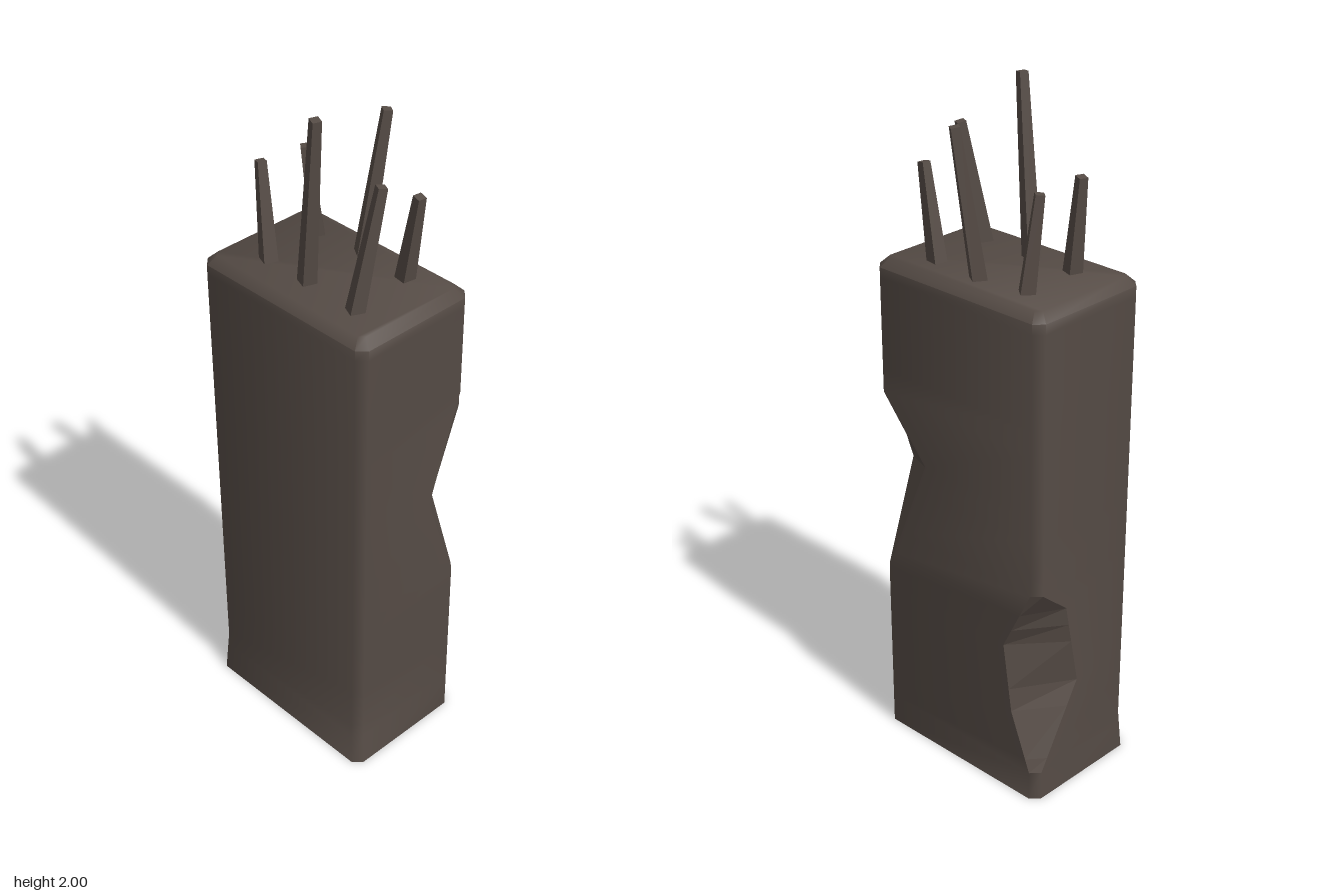
import * as THREE from 'three';
import { toCreasedNormals } from 'three/addons/utils/BufferGeometryUtils.js';

const HX = 0.2, HZ = 0.305, TOP = 1.505, BEVEL = 0.025;

// Piecewise-linear lookup in a list of [y, value]
function lerpTable(table, y) {
  if (y <= table[0][0]) return table[0][1];
  for (let i = 1; i < table.length; i++) {
    const [y0, a] = table[i - 1], [y1, b] = table[i];
    if (y <= y1) return a + (b - a) * (y - y0) / (y1 - y0);
  }
  return table[table.length - 1][1];
}

// Corner cuts: how far each one reaches along the front/back face (x) and side face (z)
const plain = [[0, BEVEL]];
const frontChip = {
  x: [[0.54, BEVEL], [0.85, 0.13], [1.18, BEVEL]],
  z: [[0.54, BEVEL], [0.93, 0.185], [1.11, BEVEL]],
};
const backChip = {
  x: [[0.09, BEVEL], [0.34, 0.17], [0.6, 0.12], [0.68, BEVEL]],
  z: [[0.09, BEVEL], [0.27, 0.095], [0.48, 0.125], [0.68, BEVEL]],
};
const cleanCut = { x: plain, z: plain };
const wear = [[0, 0], [0.13, 1], [1.45, 0]];

// Eight points round the block at height y, counter-clockwise from above
function ring(y, inset = 0) {
  const w = lerpTable(wear, y);
  const hx = HX - inset, hz = HZ - inset;
  const pts = [];
  const corner = (sx, sz, cut, xFirst) => {
    const wx = sx < 0 ? 0.016 * w : 0;
    const wz = sx < 0 && sz > 0 ? 0.018 * w : 0;
    const ex = sx * (hx - wx), ez = sz * (hz - wz);
    const onSide = new THREE.Vector3(ex, y, ez - sz * (lerpTable(cut.z, y) - inset * 0.4));
    const onFace = new THREE.Vector3(ex - sx * (lerpTable(cut.x, y) - inset * 0.4), y, ez);
    pts.push(...(xFirst ? [onSide, onFace] : [onFace, onSide]));
  };
  corner(1, 1, frontChip, false);
  corner(1, -1, backChip, true);
  corner(-1, -1, cleanCut, false);
  corner(-1, 1, cleanCut, true);
  return pts;
}

function geometryFrom(triangles) {
  const g = new THREE.BufferGeometry().setFromPoints(triangles);
  g.computeVertexNormals();
  return g;
}

function createBlock(material) {
  const heights = [0, 0.09, 0.13, 0.27, 0.34, 0.48, 0.54, 0.6, 0.68, 0.85, 0.93, 1.11, 1.18, 1.45, TOP - BEVEL];
  const rings = heights.map(y => ring(y));
  rings.push(ring(TOP, BEVEL));
  const body = [], chips = [];
  for (let r = 0; r < rings.length - 1; r++) {
    const lo = rings[r], hi = rings[r + 1];
    for (let i = 0; i < 8; i++) {
      const j = (i + 1) % 8;
      const y = (lo[i].y + hi[i].y) / 2;
      const chipped = (i === 0 && y > 0.54 && y < 1.18) || (i === 2 && y > 0.09 && y < 0.68);
      (chipped ? chips : body).push(lo[i], lo[j], hi[j], lo[i], hi[j], hi[i]);
    }
  }
  // Flat end caps
  const bottom = rings[0], top = rings[rings.length - 1];
  for (let i = 1; i < 7; i++) {
    body.push(top[0], top[i], top[i + 1]);
    body.push(bottom[0], bottom[i + 1], bottom[i]);
  }
  const block = new THREE.Group();
  block.name = 'concreteBlock';
  const pillar = new THREE.Mesh(toCreasedNormals(geometryFrom(body), 0.95), material);
  pillar.name = 'pillar';
  const broken = new THREE.Mesh(geometryFrom(chips), material);
  broken.name = 'chippedCorners';
  block.add(pillar, broken);
  return block;
}

// Tapered square bar leaning from base to tip
function createBar(base, tip, material) {
  const a = new THREE.Vector3(base[0], TOP - 0.02, base[1]);
  const b = new THREE.Vector3(...tip);
  const dir = b.clone().sub(a);
  const g = new THREE.CylinderGeometry(0.0175, 0.029, dir.length(), 4).toNonIndexed();
  g.computeVertexNormals();
  // Turn the square so that one flat side follows the lean
  g.rotateY(Math.PI / 4 + Math.atan2(dir.x, dir.z));
  const bar = new THREE.Mesh(g, material);
  bar.name = 'reinforcingBar';
  bar.position.copy(a).add(b).multiplyScalar(0.5);
  bar.quaternion.setFromUnitVectors(new THREE.Vector3(0, 1, 0), dir.normalize());
  return bar;
}

export function createModel() {
  const concrete = new THREE.MeshStandardMaterial({ color: 0x564c46 });
  concrete.name = 'dark concrete';
  const model = new THREE.Group();
  model.name = 'brokenPillar';
  model.add(createBlock(concrete));

  // Exposed bars: base [x, z], tip [x, y, z]
  const bars = [
    [[-0.09, -0.155], [-0.075, 1.78, -0.195]],
    [[-0.09, -0.01], [-0.112, 2.0, 0.05]],
    [[-0.1, 0.175], [-0.037, 1.85, 0.204]],
    [[0.1, -0.167], [0.075, 1.77, -0.188]],
    [[0.115, -0.013], [0.167, 1.92, 0.02]],
    [[0.105, 0.153], [0.097, 1.77, 0.207]],
  ];
  for (const [base, tip] of bars) model.add(createBar(base, tip, concrete));
  return model;
}
